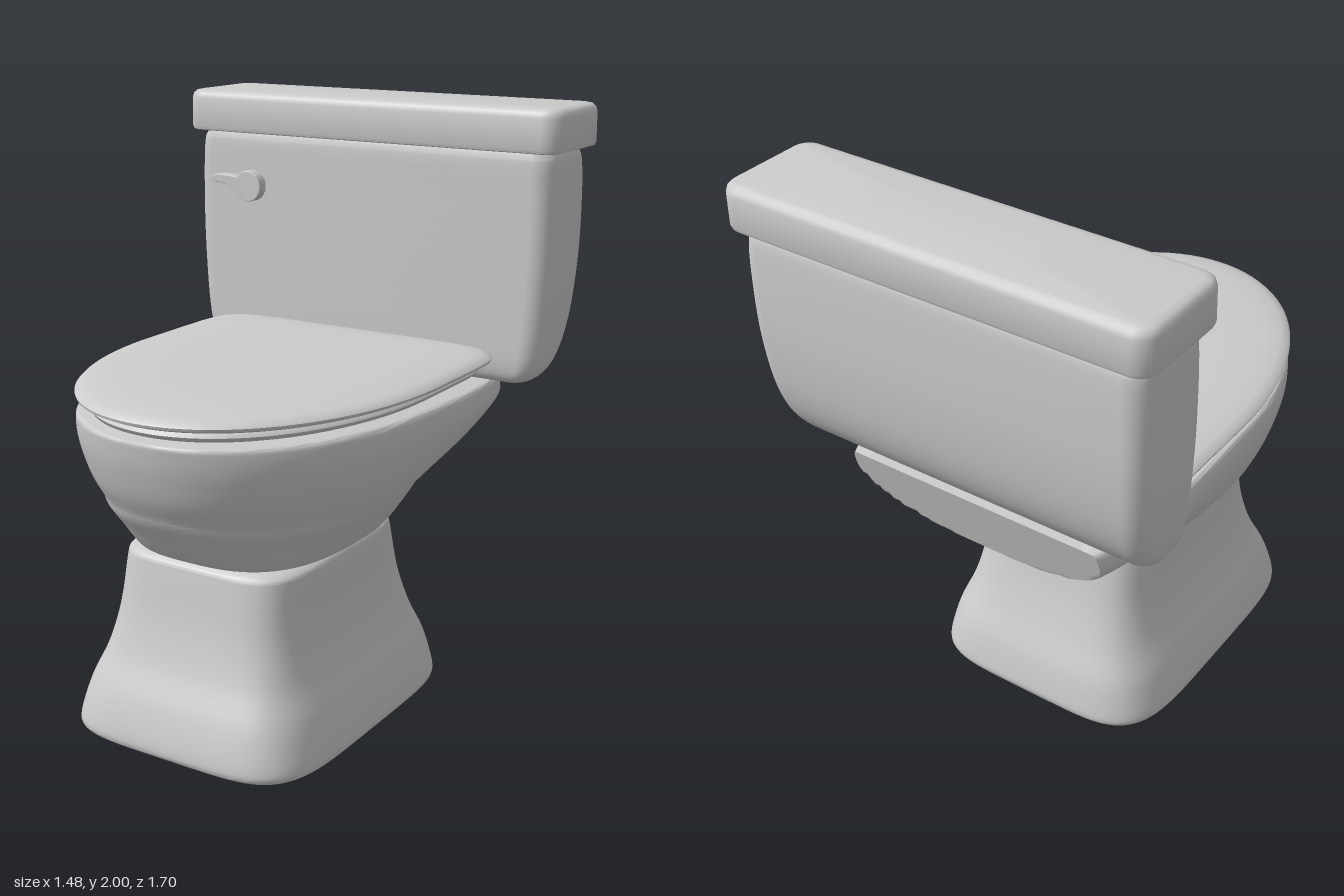
import * as THREE from 'three';
import { toCreasedNormals } from 'three/addons/utils/BufferGeometryUtils.js';

const material = new THREE.MeshStandardMaterial({ color: 0xcccccc });

// Closed, capped skin through a stack of equal-length rings, bottom to top.
function loft(rings, crease = 0.7) {
  const n = rings[0].length, pos = [], index = [];
  const centre = (ring) => ring.reduce((s, p) => s.add(p), new THREE.Vector3()).divideScalar(n);
  for (const ring of rings) for (const p of ring) pos.push(p.x, p.y, p.z);
  const bottom = rings.length * n, top = bottom + 1, last = (rings.length - 1) * n;
  pos.push(...centre(rings[0]).toArray(), ...centre(rings[rings.length - 1]).toArray());
  for (let j = 0; j < n; j++) {
    const k = (j + 1) % n;
    for (let i = 0; i < rings.length - 1; i++) {
      const a = i * n + j, b = a + n, c = i * n + k, d = c + n;
      index.push(a, b, c, b, d, c);
    }
    index.push(bottom, j, k, top, last + k, last + j);
  }
  const geo = new THREE.BufferGeometry();
  geo.setAttribute('position', new THREE.Float32BufferAttribute(pos, 3));
  geo.setIndex(index);
  return toCreasedNormals(geo, crease);
}

// Catmull-Rom refinement of a table of levels.
function refine(rows, steps) {
  const out = [], at = (i) => rows[Math.max(0, Math.min(rows.length - 1, i))];
  for (let i = 0; i < rows.length - 1; i++) {
    for (let s = 0; s < steps; s++) {
      const t = s / steps;
      out.push(rows[i].map((b, c) => {
        const a = at(i - 1)[c], d = at(i + 1)[c], e = at(i + 2)[c];
        return b + 0.5 * t * (d - a + t * (2 * a - 5 * b + 4 * d - e + t * (3 * (b - d) + e - a)));
      }));
    }
  }
  out.push(rows[rows.length - 1]);
  return out;
}

// Superellipse ring with separate front and back reach and squareness.
function ovalRing([y, w, front, back, pf, pb], zc, n = 96) {
  return Array.from({ length: n }, (_, i) => {
    const a = (i / n) * Math.PI * 2, c = Math.cos(a), s = Math.sin(a);
    const e = 2 / (s >= 0 ? pf : pb), reach = s >= 0 ? front - zc : zc - back;
    return new THREE.Vector3(
      w * Math.sign(c) * Math.abs(c) ** e, y,
      zc + reach * Math.sign(s) * Math.abs(s) ** e);
  });
}

// Rounded rectangle ring.
function boxRing([y, w, front, back, r], n = 8) {
  const ring = [], zc = (front + back) / 2, d = (front - back) / 2;
  for (let q = 0; q < 4; q++) {
    const sx = q === 0 || q === 3 ? 1 : -1, sz = q < 2 ? 1 : -1;
    for (let i = 0; i <= n; i++) {
      const a = (q + i / n) * Math.PI / 2;
      ring.push(new THREE.Vector3(
        sx * (w - r) + r * Math.cos(a), y, zc + sz * (d - r) + r * Math.sin(a)));
    }
  }
  return ring;
}

function add(group, name, geo) {
  const mesh = new THREE.Mesh(geo, material);
  mesh.name = name;
  group.add(mesh);
  return mesh;
}

export function createModel() {
  const model = new THREE.Group();
  model.name = 'toilet';

  // Flared pedestal: height, half width, front, back, squareness
  const foot = [
    [0, 0.445, 0.715, -0.405, 5, 5], [0.02, 0.46, 0.73, -0.42, 5, 5],
    [0.08, 0.45, 0.72, -0.412, 5, 5], [0.17, 0.425, 0.69, -0.39, 5, 5],
    [0.28, 0.382, 0.64, -0.345, 5, 5], [0.42, 0.35, 0.6, -0.3, 5, 5],
    [0.58, 0.333, 0.573, -0.266, 5, 5], [0.61, 0.325, 0.565, -0.258, 5, 5],
    [0.625, 0.3, 0.54, -0.23, 5, 5],
  ];
  add(model, 'pedestal', loft(refine(foot, 4).map((r) => ovalRing(r, 0.155))));

  // Bowl, flowing back into a shelf that is cut off by a sloping rear plane
  const bowl = [
    [0.62, 0.3, 0.52, -0.2, 3, 3], [0.63, 0.35, 0.57, -0.25, 2.8, 2.8],
    [0.66, 0.385, 0.61, -0.3, 2.5, 2.5], [0.72, 0.43, 0.66, -0.36, 2.3, 2.3],
    [0.78, 0.472, 0.71, -0.43, 2.2, 2.1], [0.812, 0.49, 0.73, -0.51, 2.1, 2],
    [0.828, 0.497, 0.738, -0.7, 2.1, 2], [0.9, 0.525, 0.78, -0.9, 2.1, 2.5],
    [1.0, 0.55, 0.815, -1.0, 2.1, 3], [1.07, 0.55, 0.83, -1.02, 2.1, 3],
    [1.095, 0.54, 0.832, -1.02, 2.1, 3], [1.1, 0.525, 0.82, -1.0, 2.1, 3],
  ];
  const bowlRings = refine(bowl, 4).map((r) => ovalRing(r, 0.12));
  for (const p of bowlRings.flat()) {
    p.z = Math.max(p.z, -0.615 - 0.25 * Math.max(0, p.y - 0.82));
    const rise = THREE.MathUtils.clamp((p.y - 0.82) / 0.28, 0, 1);
    p.y -= 0.05 * rise * THREE.MathUtils.clamp((0.4 - p.z) / 1.0, 0, 1);
  }
  add(model, 'bowl', loft(bowlRings));

  // Seat and closed cover share one outline, drawn at several insets
  const seatRing = ([y, inset]) =>
    ovalRing([y, 0.58 - inset, 0.85 - inset, -0.485 + inset * 0.5, 2.05, 9], 0);
  const stack = (name, rows) => add(model, name, loft(rows.map(seatRing)));
  stack('seatBumper', [[1.085, 0.11], [1.115, 0.11]]);
  stack('seat', [[1.108, 0.06], [1.112, 0.05], [1.125, 0.042], [1.138, 0.05], [1.142, 0.06]]);
  stack('seatGap', [[1.135, 0.09], [1.155, 0.09]]);
  stack('seatCover', [[1.146, 0.045], [1.148, 0.02], [1.156, 0.003], [1.165, 0],
    [1.175, 0.01], [1.183, 0.035], [1.191, 0.09], [1.197, 0.18], [1.2, 0.32]]);

  // Bolt caps on the rear shelf
  for (const side of [-1, 1]) {
    const cap = add(model, 'boltCap', new THREE.CylinderGeometry(0.035, 0.045, 0.025, 24));
    cap.position.set(side * 0.4, 1.065, -0.4);
  }

  // Tank, its back and sides curving in underneath
  const tank = [
    [1.05, 0.58, -0.55, -0.6, 0.02], [1.056, 0.62, -0.525, -0.635, 0.04],
    [1.075, 0.655, -0.503, -0.67, 0.06], [1.12, 0.68, -0.492, -0.72, 0.07],
    [1.2, 0.693, -0.49, -0.77, 0.07], [1.32, 0.703, -0.49, -0.805, 0.07],
    [1.5, 0.711, -0.49, -0.825, 0.07], [1.7, 0.711, -0.49, -0.828, 0.07],
    [1.81, 0.705, -0.49, -0.825, 0.07], [1.845, 0.695, -0.495, -0.817, 0.07],
    [1.87, 0.68, -0.505, -0.805, 0.06],
  ];
  add(model, 'tank', loft(refine(tank, 4).map((r) => boxRing(r))));

  // Tank lid with softened edges
  const lid = [
    [1.852, 0.725, -0.482, -0.835, 0.05], [1.856, 0.737, -0.47, -0.847, 0.06],
    [1.868, 0.742, -0.466, -0.852, 0.065], [1.97, 0.741, -0.467, -0.851, 0.065],
    [1.986, 0.736, -0.472, -0.846, 0.06], [1.996, 0.725, -0.483, -0.835, 0.05],
    [2, 0.705, -0.503, -0.815, 0.035],
  ];
  add(model, 'tankLid', loft(lid.map((r) => boxRing(r))));

  // Flush lever: round hub with a tapered arm
  const lever = new THREE.Shape();
  lever.absarc(0, 0, 0.053, -2.5, 2.6, false);
  lever.quadraticCurveTo(-0.07, 0.034, -0.13, 0.034);
  lever.quadraticCurveTo(-0.157, 0.03, -0.157, 0.02);
  lever.quadraticCurveTo(-0.155, 0.008, -0.13, 0.009);
  lever.quadraticCurveTo(-0.07, 0.01, -0.043, -0.032);
  const handle = add(model, 'flushLever', new THREE.ExtrudeGeometry(lever, {
    depth: 0.043, curveSegments: 20, bevelSize: 0.003, bevelThickness: 0.003, bevelSegments: 2,
  }));
  handle.position.set(-0.46, 1.663, -0.495);

  return model;
}
